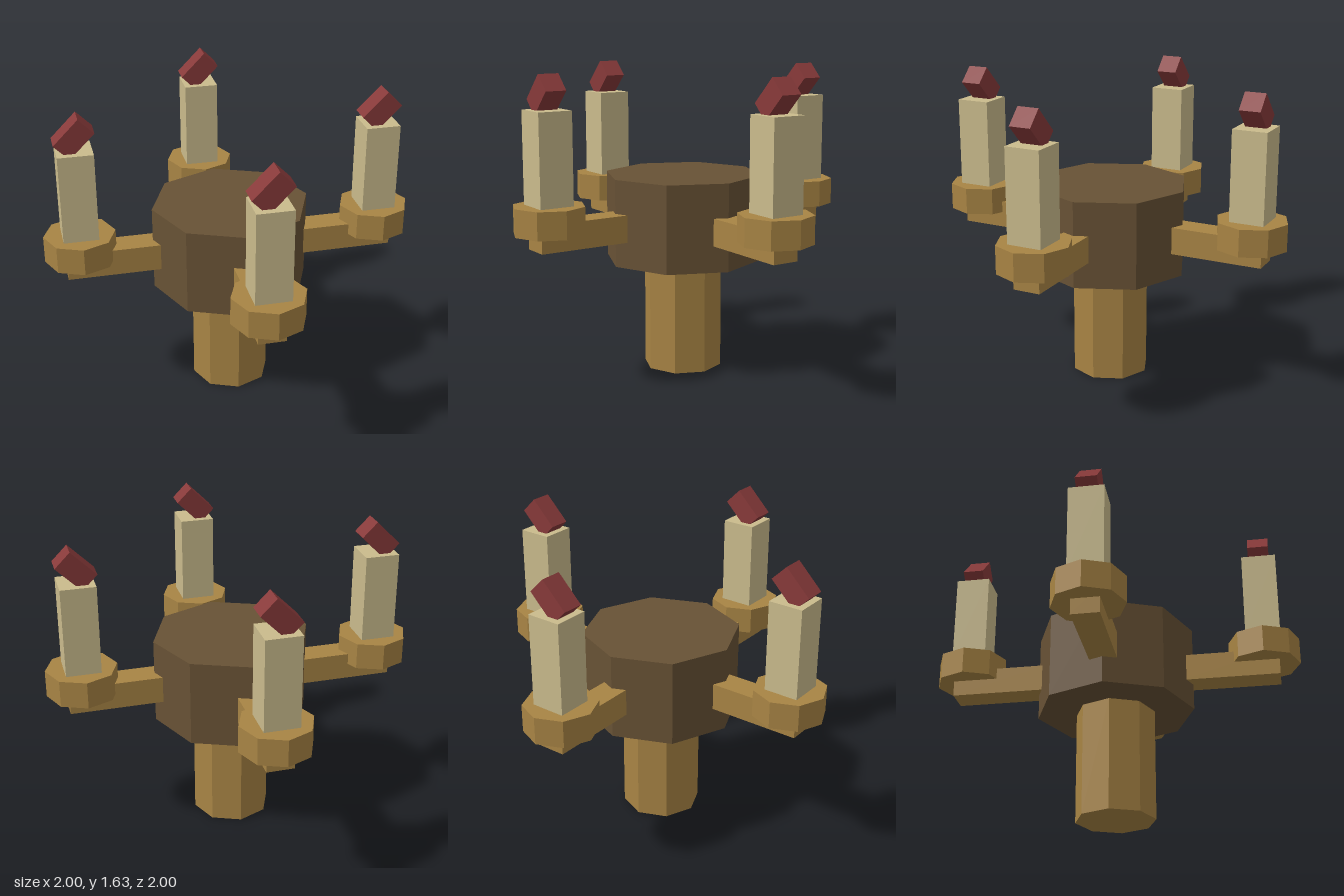
import * as THREE from 'three';

const material = (name, color) => {
  const m = new THREE.MeshStandardMaterial({ color, flatShading: true });
  m.name = name;
  return m;
};

export function createModel() {
  const brass = material('brass', 0xa88444);
  const darkWood = material('dark wood', 0x685235);
  const wax = material('wax', 0xcabb8c);
  const red = material('flame red', 0x883a3a);

  const model = new THREE.Group();
  model.name = 'candelabra';

  const add = (parent, name, geometry, mat, x, y, z) => {
    const mesh = new THREE.Mesh(geometry, mat);
    mesh.name = name;
    mesh.position.set(x, y, z);
    parent.add(mesh);
    return mesh;
  };
  // Octagonal prism with corners on the axes
  const octagon = (radius, height) => new THREE.CylinderGeometry(radius, radius, height, 8);

  // Central stem and hub
  add(model, 'stem', octagon(0.212, 0.6), brass, 0, 0.3, 0);
  add(model, 'hub', octagon(0.424, 0.465), darkWood, 0, 0.8325, 0);

  // Four arms, each with a dish, a candle and a flame
  const reach = 0.81;
  const armGeometry = new THREE.BoxGeometry(0.145, 0.145, 0.52);
  const dishGeometry = octagon(0.19, 0.145);
  const candleGeometry = new THREE.BoxGeometry(0.185, 0.48, 0.185);
  const flameGeometry = new THREE.BoxGeometry(0.185, 0.113, 0.113);

  for (let i = 0; i < 4; i++) {
    const angle = (i * Math.PI) / 2;
    const dx = Math.sin(angle), dz = Math.cos(angle);
    const branch = new THREE.Group();
    branch.name = 'branch' + (i + 1);
    model.add(branch);

    const arm = add(branch, 'arm', armGeometry, brass, dx * 0.63, 0.8125, dz * 0.63);
    arm.rotation.y = angle;
    add(branch, 'dish', dishGeometry, brass, dx * reach, 0.8975, dz * reach);
    add(branch, 'candle', candleGeometry, wax, dx * reach, 1.21, dz * reach);
    // Every flame leans the same way, toward +x
    const flame = add(branch, 'flame', flameGeometry, red, dx * reach, 1.525, dz * reach);
    flame.rotation.z = Math.PI / 4;
  }
  return model;
}
